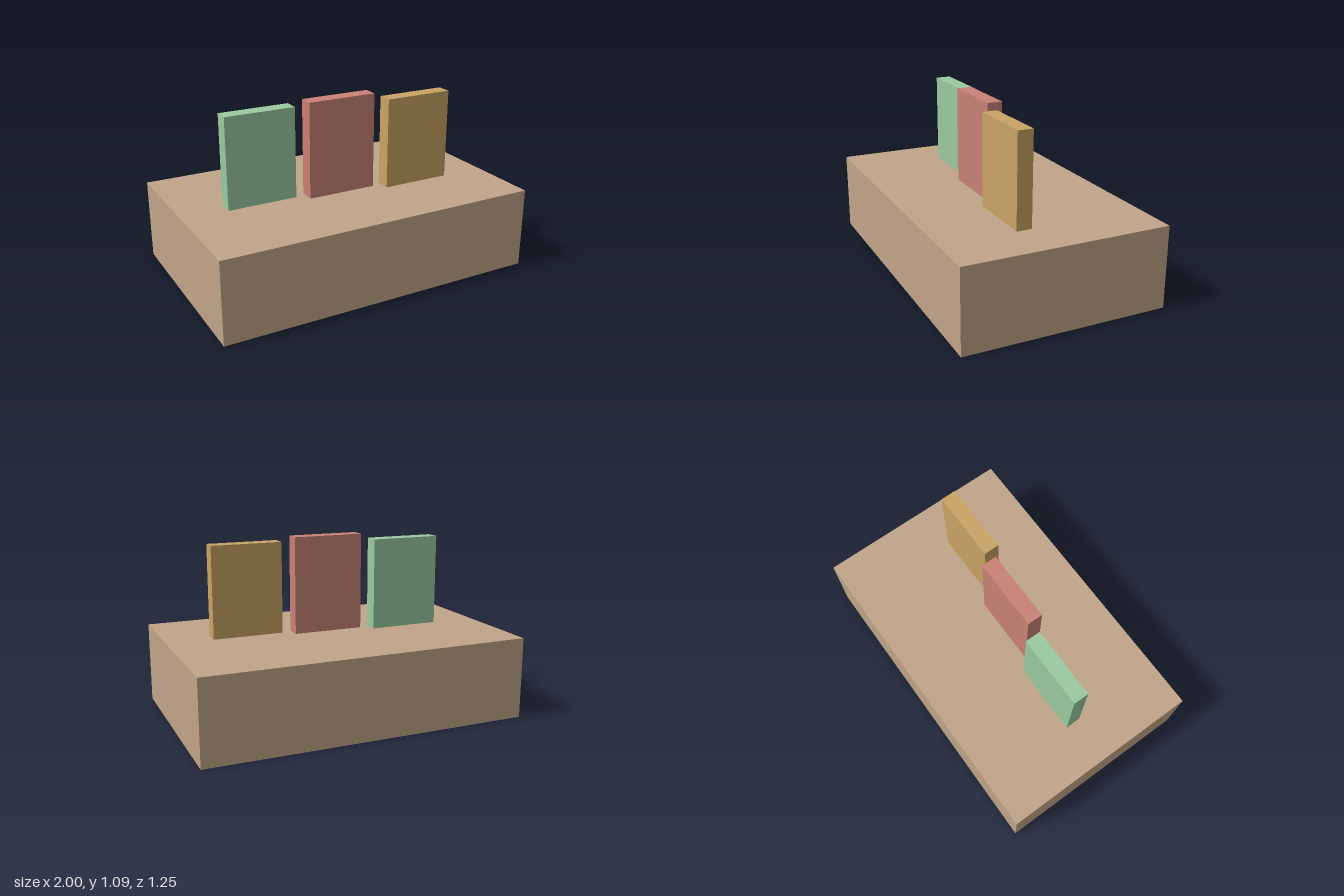
import * as THREE from 'three';

const material = (name, color) => {
  const m = new THREE.MeshStandardMaterial({ color });
  m.name = name;
  return m;
};

// Box standing with its underside at height y
function block(name, mat, [w, h, d], [x, y, z]) {
  const mesh = new THREE.Mesh(new THREE.BoxGeometry(w, h, d), mat);
  mesh.name = name;
  mesh.position.set(x, y + h / 2, z);
  return mesh;
}

export function createModel() {
  const model = new THREE.Group();
  model.name = 'panelsOnBase';

  // Solid base slab
  const baseHeight = 0.5;
  model.add(block('base', material('tan', 0xc0a588), [2, baseHeight, 1.25], [0, 0, 0]));

  // Three upright panels, each stepped slightly further forward
  const panels = [
    ['rightPanel', material('green', 0x9aca9f), 0.5625],
    ['middlePanel', material('red', 0xc98176), 0.594],
    ['leftPanel', material('gold', 0xc9a364), 0.5625],
  ];
  panels.forEach(([name, mat, height], i) => {
    model.add(block(name, mat, [0.4375, height, 0.094], [(i - 1) * 0.5, baseHeight, i * 0.0625]));
  });

  return model;
}
